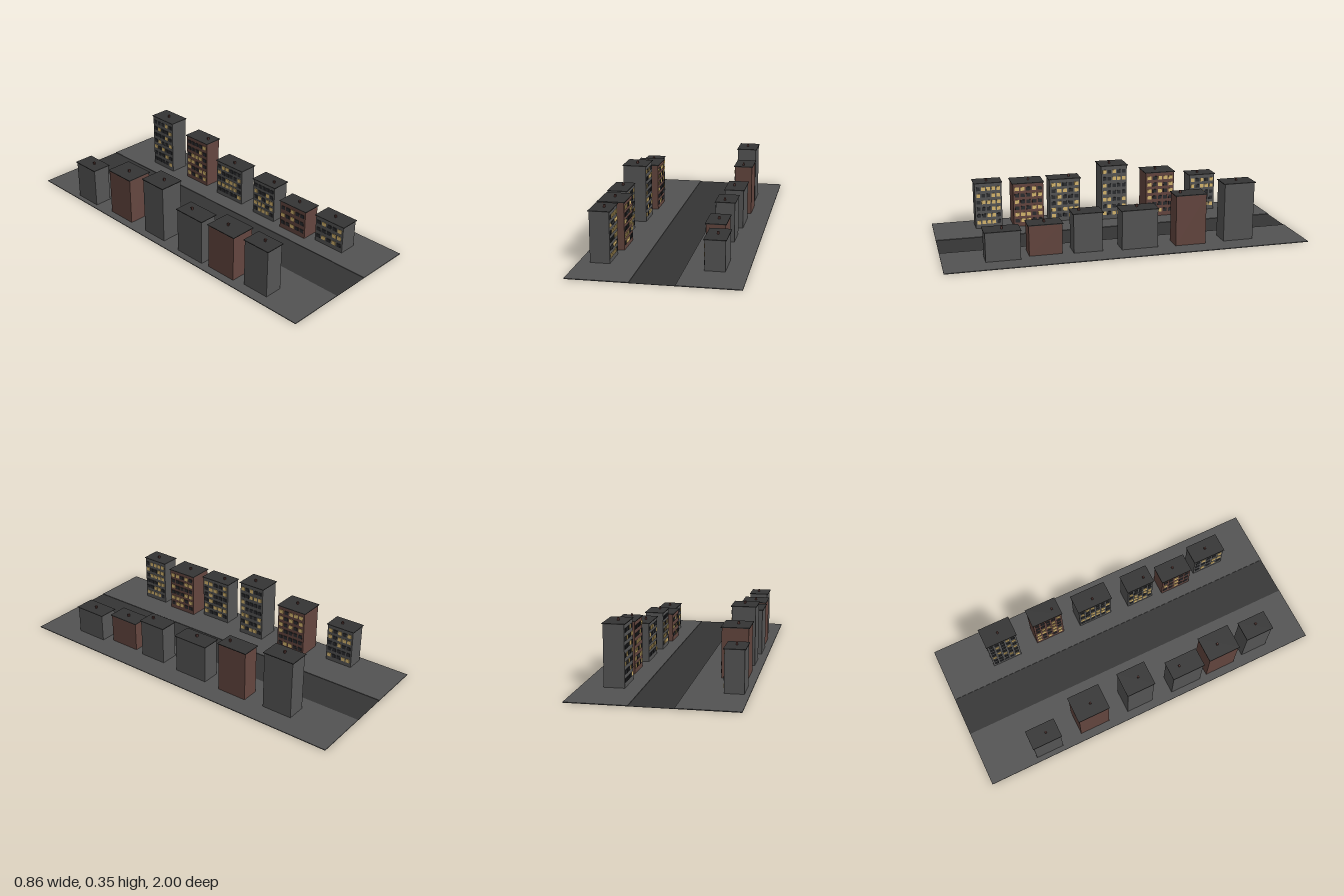
import * as THREE from 'three';

const mat = (name, color) => new THREE.MeshStandardMaterial({ name, color });

export function createModel() {
  const pavement = mat('pavement', 0x525252);
  const asphalt = mat('asphalt', 0x343434);
  const plaster = mat('grey plaster', 0x555555);
  const brick = mat('red brick', 0x64463f);
  const roofing = mat('dark roofing', 0x343434);
  const chimneyBrick = mat('chimney brick', 0x583a36);
  const litGlass = mat('lit window', 0xd8b870);
  const darkGlass = mat('dark window', 0x2a2b2e);

  const model = new THREE.Group();
  model.name = 'street';

  // Box given by its limits, standing on y0
  function box(parent, name, material, x0, x1, y0, y1, z0, z1) {
    const mesh = new THREE.Mesh(new THREE.BoxGeometry(x1 - x0, y1 - y0, z1 - z0), material);
    mesh.name = name;
    mesh.position.set((x0 + x1) / 2, (y0 + y1) / 2, (z0 + z1) / 2);
    parent.add(mesh);
    return mesh;
  }

  // Seeded choice of lit windows
  let seed = 17;
  const random = () => {
    seed = (seed * 16807) % 2147483647;
    return seed / 2147483647;
  };

  // Ground strips
  box(model, 'road', asphalt, -0.112, 0.112, 0, 0.001, -1, 1);
  box(model, 'rightPavement', pavement, -0.43, -0.112, 0, 0.004, -1, 1);
  box(model, 'leftPavement', pavement, 0.112, 0.43, 0, 0.004, -1, 1);

  // A house: walls, overhanging flat roof, chimney, windows towards the road
  function addHouse(name, x0, x1, z0, z1, height, wall, chimneyX, chimneyZ) {
    const house = new THREE.Group();
    house.name = name;
    model.add(house);
    const lip = 0.005, eaves = height - 0.004;
    box(house, 'walls', wall, x0 + lip, x1 - lip, 0.003, eaves, z0 + lip, z1 - lip);
    box(house, 'roof', roofing, x0, x1, eaves, height, z0, z1);
    box(house, 'chimney', chimneyBrick, chimneyX - 0.005, chimneyX + 0.005, height, height + 0.014,
      chimneyZ - 0.005, chimneyZ + 0.005);

    const side = x0 < 0 ? 1 : -1;
    const face = side > 0 ? x1 - lip : x0 + lip;
    const depth = z1 - z0 - 2 * lip;
    const columns = Math.round(depth / 0.034);
    const rows = Math.round((height - 0.03) / 0.042);
    const columnStep = (depth - 0.01) / columns;
    const rowStep = (height - 0.035) / rows;
    for (let r = 0; r < rows; r++) {
      for (let c = 0; c < columns; c++) {
        const pane = new THREE.Mesh(
          new THREE.BoxGeometry(0.004, 0.021, columnStep * 0.72),
          random() < 0.45 ? litGlass : darkGlass
        );
        pane.name = 'window';
        pane.position.set(face + side * 0.001, 0.02 + (r + 0.5) * rowStep,
          z0 + lip + 0.005 + (c + 0.5) * columnStep);
        house.add(pane);
      }
    }
  }

  // x0, x1, z0, z1, height, wall, chimney x, chimney z
  const rightRow = [
    [-0.407, -0.296, -0.72, -0.55, 0.23, plaster, -0.35, -0.62],
    [-0.39, -0.24, -0.44, -0.255, 0.276, brick, -0.32, -0.34],
    [-0.39, -0.25, -0.148, 0.018, 0.332, plaster, -0.316, -0.05],
    [-0.397, -0.287, 0.129, 0.322, 0.262, plaster, -0.34, 0.193],
    [-0.39, -0.243, 0.357, 0.545, 0.263, brick, -0.32, 0.44],
    [-0.375, -0.262, 0.598, 0.763, 0.274, plaster, -0.31, 0.685],
  ];
  const leftRow = [
    [0.194, 0.313, -0.722, -0.54, 0.332, plaster, 0.25, -0.63],
    [0.213, 0.323, -0.44, -0.258, 0.288, brick, 0.265, -0.3],
    [0.2, 0.313, -0.168, 0.043, 0.223, plaster, 0.245, -0.06],
    [0.188, 0.3, 0.138, 0.306, 0.223, plaster, 0.236, 0.26],
    [0.175, 0.286, 0.355, 0.545, 0.174, brick, 0.235, 0.45],
    [0.207, 0.321, 0.584, 0.78, 0.165, plaster, 0.265, 0.68],
  ];
  rightRow.forEach((h, i) => addHouse('rightHouse' + (i + 1), ...h));
  leftRow.forEach((h, i) => addHouse('leftHouse' + (i + 1), ...h));

  return model;
}
